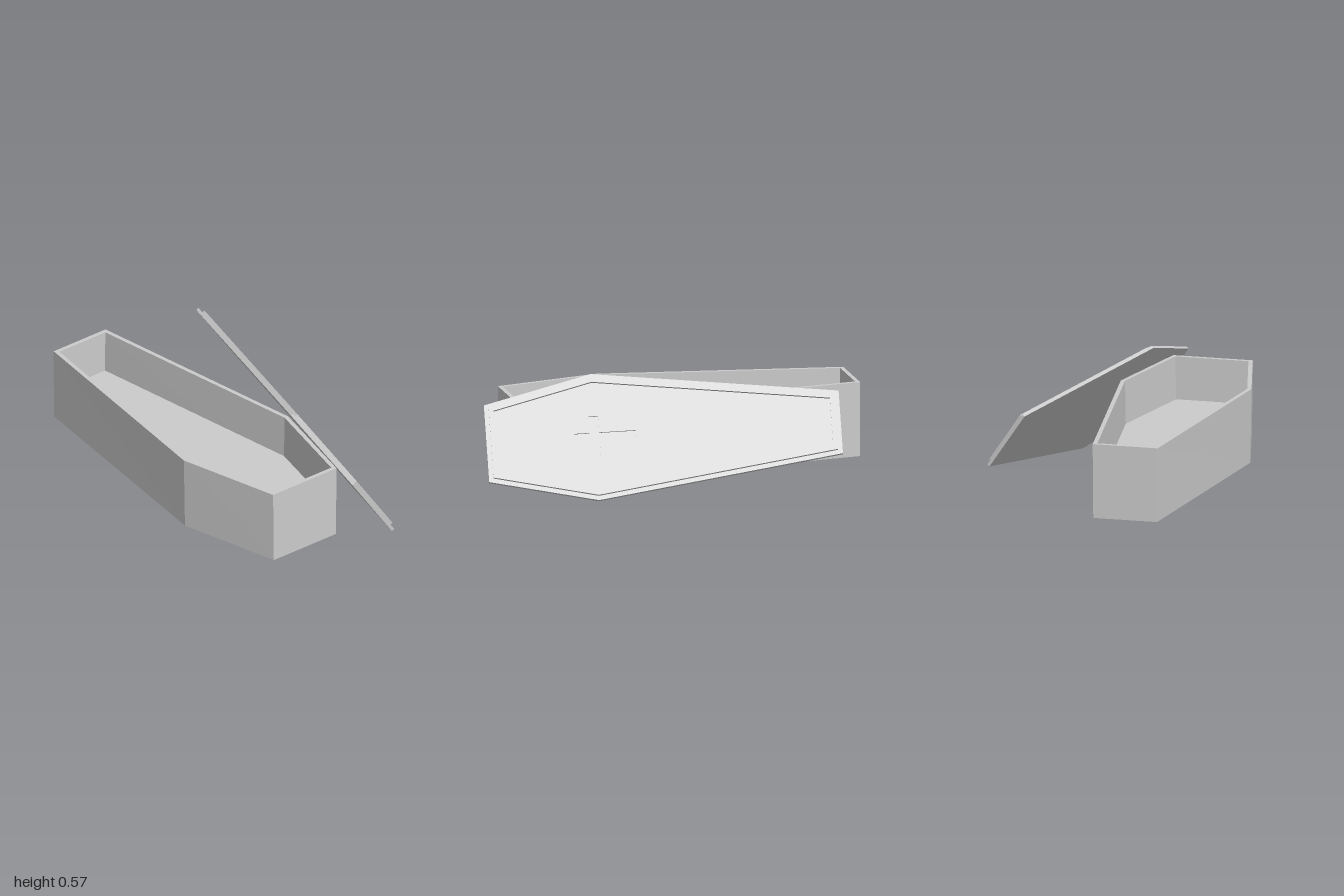
import * as THREE from 'three';

const material = new THREE.MeshStandardMaterial({ color: 0xcccccc, flatShading: true });

// Half outline of the coffin plan: [half width, z] from foot to head
const HALF = [[0.17, -1], [0.342, 0.25], [0.208, 0.8]];

// Six-sided plan, counter-clockwise in the shape plane (shape y = -z)
const OUTLINE = [
  ...HALF.map(([w, z]) => new THREE.Vector2(-w, -z)),
  ...HALF.slice().reverse().map(([w, z]) => new THREE.Vector2(w, -z)),
];

// Move every side of a counter-clockwise polygon inward by d
function inset(points, d) {
  const n = points.length;
  return points.map((p, i) => {
    const a = p.clone().sub(points[(i + n - 1) % n]).normalize();
    const b = points[(i + 1) % n].clone().sub(p).normalize();
    const na = new THREE.Vector2(-a.y, a.x);
    const nb = new THREE.Vector2(-b.y, b.x);
    return p.clone().addScaledVector(na.clone().add(nb), d / (1 + na.dot(nb)));
  });
}

// Horizontal plate from y0 to y1, with an optional hole
function plate(name, points, y0, y1, hole) {
  const shape = new THREE.Shape(points);
  if (hole) shape.holes.push(new THREE.Path(hole));
  const geometry = new THREE.ExtrudeGeometry(shape, { depth: y1 - y0, bevelEnabled: false });
  geometry.rotateX(-Math.PI / 2).translate(0, y0, 0);
  const mesh = new THREE.Mesh(geometry, material);
  mesh.name = name;
  return mesh;
}

// Narrow the geometry slightly towards its bottom
function taper(mesh, height, amount) {
  const pos = mesh.geometry.attributes.position;
  for (let i = 0; i < pos.count; i++) {
    pos.setX(i, pos.getX(i) * (1 - amount * (1 - pos.getY(i) / height)));
  }
  mesh.geometry.computeVertexNormals();
  return mesh;
}

// Cross outline centred on the widest line of the lid
function crossPoints() {
  const t = 0.024, arm = 0.113, head = 0.105, foot = 0.21, c = -0.25;
  return [
    [-t, foot], [-t, t], [-arm, t], [-arm, -t], [-t, -t], [-t, -head],
    [t, -head], [t, -t], [arm, -t], [arm, t], [t, t], [t, foot],
  ].map(([x, y]) => new THREE.Vector2(x, y + c));
}

export function createModel() {
  const model = new THREE.Group();
  model.name = 'coffin';

  // Open box with a raised floor
  const height = 0.387;
  const inner = inset(OUTLINE, 0.022);
  const box = new THREE.Group();
  box.name = 'box';
  box.add(
    taper(plate('boxWalls', OUTLINE, 0, height, inner), height, 0.02),
    taper(plate('boxFloor', inner, 0, 0.162), height, 0.02),
  );
  box.position.set(-0.222, 0.045, 0);
  model.add(box);

  // Lid: backing, panel with a sunken cross, and a raised frame
  const lid = new THREE.Group();
  lid.name = 'lid';
  lid.add(
    plate('lidBack', OUTLINE, 0, 0.008),
    plate('lidPanel', OUTLINE, 0.008, 0.016, crossPoints()),
    plate('lidFrame', inset(OUTLINE, 0.023), 0.016, 0.03, inset(OUTLINE, 0.047)),
  );

  // Lean the lid against the side of the box
  const along = new THREE.Vector3(-0.217, -0.055, 0.975).normalize();
  const across = new THREE.Vector3(0.558, -0.826, 0.078).normalize();
  const up = along.clone().cross(across).normalize();
  across.crossVectors(up, along);
  lid.quaternion.setFromRotationMatrix(new THREE.Matrix4().makeBasis(across, up, along));
  lid.position.set(0.185, 0.283, 0.452).addScaledVector(along, -0.25);
  model.add(lid);

  return model;
}
